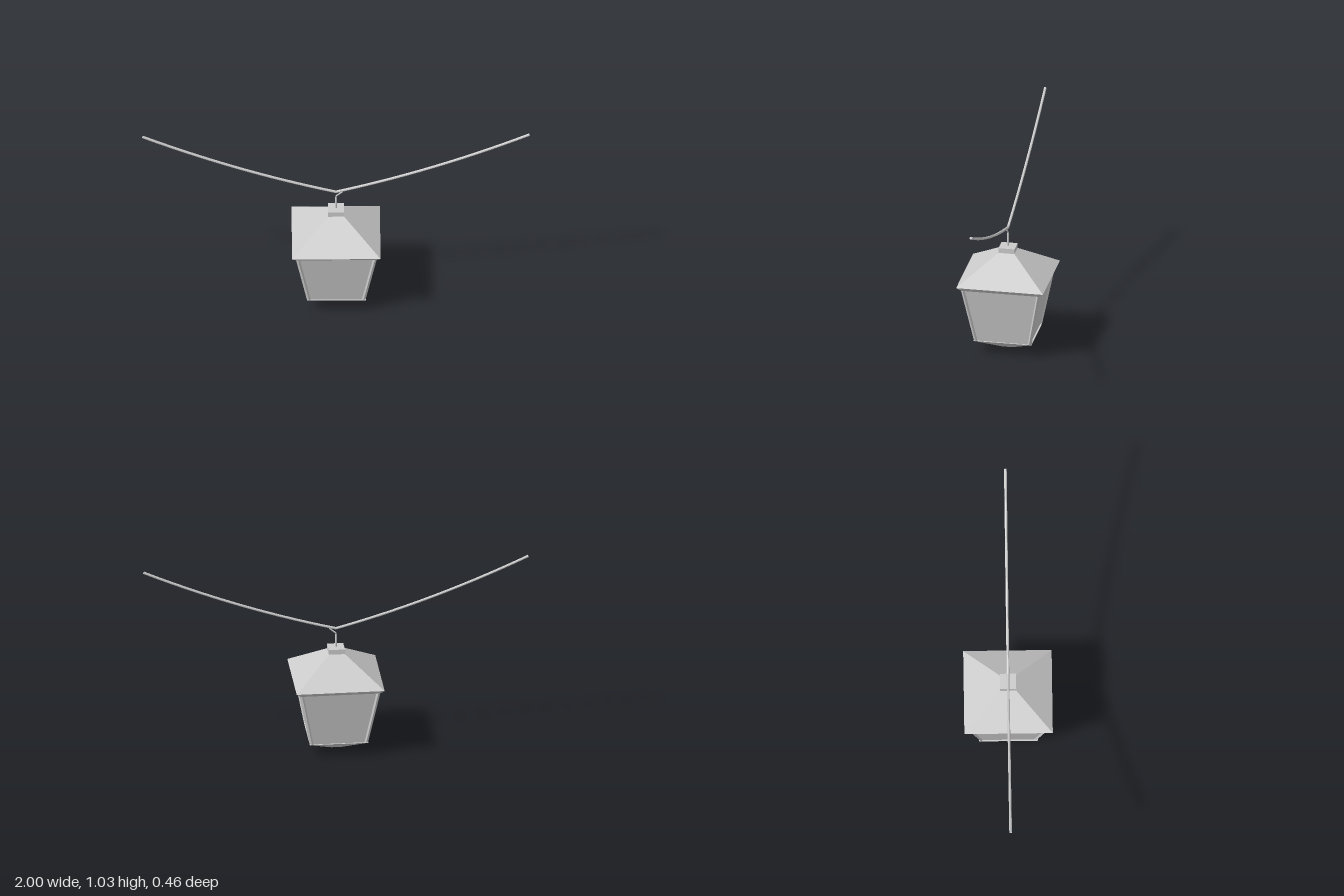
import * as THREE from 'three';

const metal = new THREE.MeshStandardMaterial({ color: 0xcccccc, flatShading: true });
metal.name = 'light grey';

export function createModel() {
  const model = new THREE.Group();
  model.name = 'hangingLantern';

  const add = (name, geometry) => {
    const mesh = new THREE.Mesh(geometry, metal);
    mesh.name = name;
    model.add(mesh);
    return mesh;
  };

  // square block between two heights, given its half widths
  const frustum = (name, y0, half0, y1, half1) => {
    const g = new THREE.CylinderGeometry(half1 * Math.SQRT2, half0 * Math.SQRT2, y1 - y0, 4);
    g.rotateY(Math.PI / 4).translate(0, (y0 + y1) / 2, 0);
    return add(name, g);
  };

  // lantern body, bottom to top
  frustum('base', 0, 0.027, 0.073, 0.152);
  frustum('panes', 0.073, 0.144, 0.372, 0.2);
  frustum('roofRim', 0.372, 0.205, 0.395, 0.228);
  frustum('roof', 0.395, 0.228, 0.53, 0.042);
  frustum('cap', 0.53, 0.042, 0.556, 0.042);

  // leaning corner posts, turned diagonally
  const bottom = 0.14, top = 0.197, y0 = 0.073, y1 = 0.372;
  for (const sx of [-1, 1]) for (const sz of [-1, 1]) {
    const g = new THREE.CylinderGeometry(0.012, 0.012, y1 - y0, 4);
    const p = g.attributes.position;
    for (let i = 0; i < p.count; i++) {
      const c = p.getY(i) > 0 ? top : bottom;
      p.setX(i, p.getX(i) + sx * c);
      p.setZ(i, p.getZ(i) + sz * c);
    }
    g.translate(0, (y0 + y1) / 2, 0);
    g.computeVertexNormals();
    add('cornerPost', g);
  }

  // tube along a curve, closed with a disc at each end
  const rope = (name, curve, steps, radius) => {
    add(name, new THREE.TubeGeometry(curve, steps, radius, 8));
    for (const t of [0, 1]) {
      const end = add(name + 'End', new THREE.CircleGeometry(radius, 8));
      const out = curve.getTangent(t).multiplyScalar(t ? 1 : -1);
      end.position.copy(curve.getPoint(t));
      end.quaternion.setFromUnitVectors(new THREE.Vector3(0, 0, 1), out);
    }
  };

  // hanger rod with its bent tip
  const v = (x, y) => new THREE.Vector3(x, y, 0);
  const rod = new THREE.CurvePath();
  rod.add(new THREE.LineCurve3(v(0, 0.55), v(0, 0.632)));
  rod.add(new THREE.LineCurve3(v(0, 0.632), v(0.035, 0.661)));
  rope('hanger', rod, 20, 0.004);

  // sagging cable on both sides
  for (const s of [-1, 1]) {
    const cable = new THREE.QuadraticBezierCurve3(v(0, 0.659), v(s * 0.5, 0.79), v(s * 0.997, 1.02));
    rope(s > 0 ? 'leftCable' : 'rightCable', cable, 14, 0.007);
  }
  return model;
}
